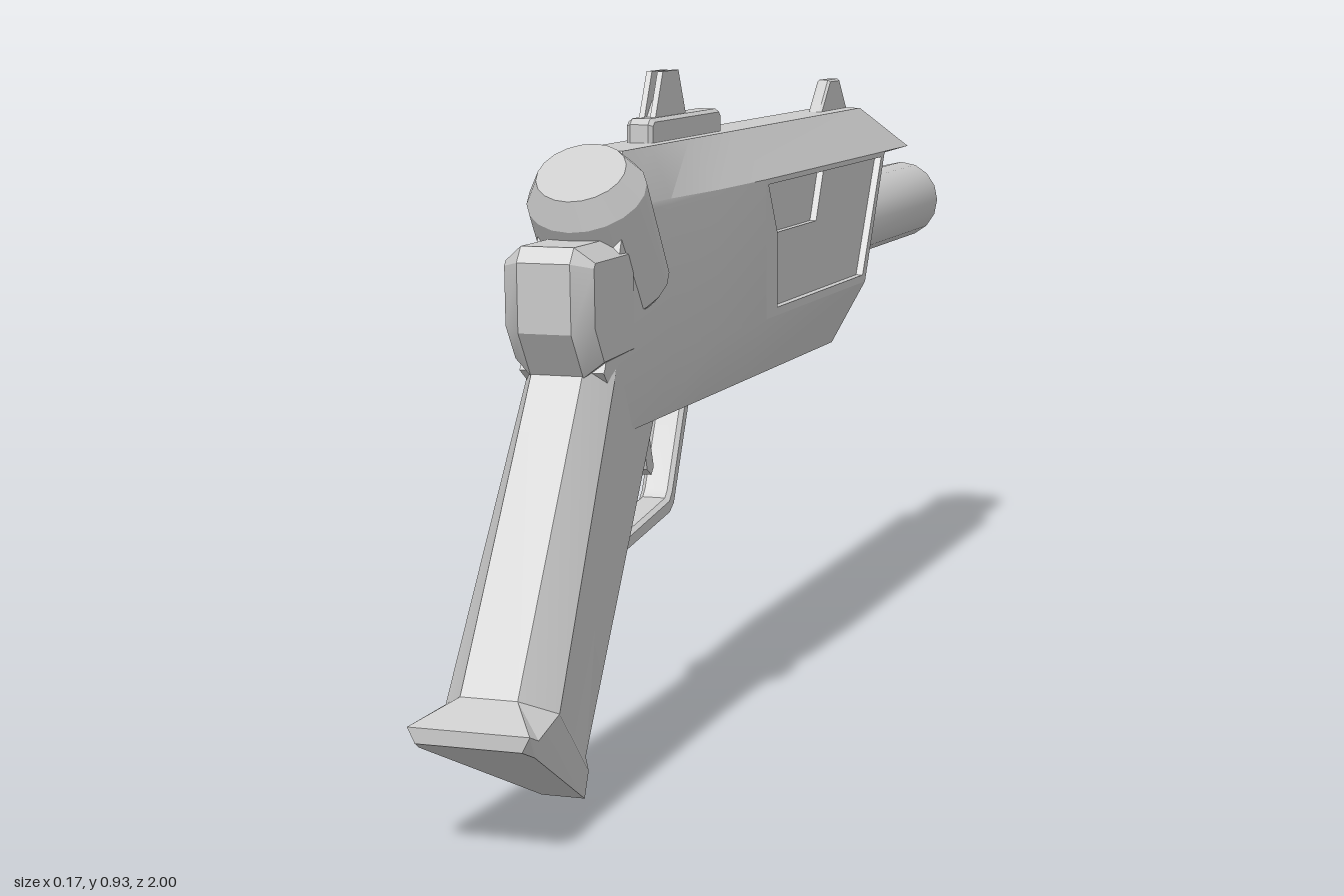
import * as THREE from 'three';
import { toCreasedNormals } from 'three/addons/utils/BufferGeometryUtils.js';

export function createModel() {
  const model = new THREE.Group();
  const material = new THREE.MeshStandardMaterial({ color: 0xcccccc });

  const add = (name, geometry, crease = 0.5) => {
    const mesh = new THREE.Mesh(toCreasedNormals(geometry, crease), material);
    mesh.name = name;
    model.add(mesh);
    return mesh;
  };

  // Side profile in [z, y], extruded across x and centred on x = cx
  const plate = (points, cx, width, hole, bevel = 0) => {
    const shape = new THREE.Shape(points.map(p => new THREE.Vector2(...p)));
    if (hole) shape.holes.push(new THREE.Path(hole.map(p => new THREE.Vector2(...p))));
    const g = new THREE.ExtrudeGeometry(shape, {
      depth: width - 2 * bevel, bevelEnabled: bevel > 0, bevelThickness: bevel,
      bevelSize: bevel * 0.8, bevelOffset: -bevel * 0.8, bevelSegments: 1,
    });
    g.translate(0, 0, bevel - width / 2);
    g.rotateY(-Math.PI / 2);
    g.translate(cx, 0, 0);
    return g;
  };

  // Skin over mirrored half sections of [x, y, z]; the start cap may have its own rows
  const mirror = ([x, y, z]) => [-x, y, z];
  const loft = (halves, startRows = halves[0], extraTriangle) => {
    const pos = [];
    const tri = (...ps) => ps.forEach(p => pos.push(...p));
    const quad = (a, b, c, d) => { tri(a, b, c); tri(a, c, d); };
    const rings = halves.map(h => [...h, ...h.map(mirror).reverse()]);
    for (let i = 0; i + 1 < rings.length; i++) {
      const n = rings[i].length;
      for (let j = 0; j < n; j++) {
        const k = (j + 1) % n;
        quad(rings[i][j], rings[i + 1][j], rings[i + 1][k], rings[i][k]);
      }
    }
    const cap = (rows, flip) => {
      for (let k = 0; k + 1 < rows.length; k++) {
        const q = [rows[k], rows[k + 1], mirror(rows[k + 1]), mirror(rows[k])];
        quad(...(flip ? q.reverse() : q));
      }
    };
    cap(startRows, false);
    cap(halves[halves.length - 1], true);
    if (extraTriangle) {
      const [a, b, c] = extraTriangle;
      tri(a, c, b);
      tri(mirror(a), mirror(b), mirror(c));
    }
    const g = new THREE.BufferGeometry();
    g.setAttribute('position', new THREE.Float32BufferAttribute(pos, 3));
    g.computeVertexNormals();
    return g;
  };

  // Receiver: z of the six section rows, half width, and half width of the inset side
  const section = (zs, w, inset = w, bottom = 0.045) => [
    [0.035, 0.835, zs[0]], [w, 0.765, zs[1]], [inset, 0.757, zs[2]],
    [inset, 0.565, zs[3]], [w, 0.56, zs[4]], [bottom, 0.465, zs[5]],
  ];
  const at = z => Array(6).fill(z);
  const front = section([-0.595, -0.72, -0.57, -0.458, -0.455, -0.4], 0.085, 0.064);
  const roof = [0.045, 0.8, -0.62];
  add('receiver', loft([
    front,
    section(at(0.08), 0.085, 0.064),
    section(at(0.08), 0.085),
    section(at(0.28), 0.078),
    section(at(0.44), 0.064),
    section([0.55, 0.6, 0.605, 0.68, 0.685, 0.56], 0.058),
  ], [front[0], front[1], roof, ...front.slice(2)], [front[1], roof, front[2]]));

  // Side frames around an inset panel with a deeper slot above it
  const frame = [[0.08, 0.56], [0.08, 0.765], [-0.572, 0.765], [-0.455, 0.56]];
  const opening = [[0.025, 0.572], [0.025, 0.68], [0.07, 0.757], [-0.55, 0.757], [-0.44, 0.572]];
  const panel = [[0.025, 0.572], [0.025, 0.68], [-0.21, 0.68], [-0.25, 0.757], [-0.55, 0.757], [-0.44, 0.572]];
  for (const [side, s] of [['left', 1], ['right', -1]]) {
    add(side + 'SideFrame', plate(frame, s * 0.0745, 0.021, opening));
    add(side + 'SidePanel', plate(panel, s * 0.068, 0.012));
  }

  // Grip with flared butt: back [z, y], front [z, y], half widths at back, shoulder, front
  const gripSection = ([bz, by], [fz, fy], wb, ws, wf, t = 0.17) => [
    [wb, by, bz],
    [ws, by + (fy - by) * t, bz + (fz - bz) * t],
    [wf, fy, fz],
  ];
  add('grip', loft([
    gripSection([0.665, 0.61], [0.38, 0.54], 0.035, 0.055, 0.035),
    gripSection([0.7, 0.56], [0.43, 0.465], 0.035, 0.061, 0.035),
    gripSection([0.935, 0.19], [0.685, 0.055], 0.038, 0.076, 0.03),
    gripSection([1.0, 0.165], [0.68, 0.035], 0.08, 0.081, 0.032, 0.08),
    gripSection([1.0, 0.145], [0.69, 0.0], 0.07, 0.076, 0.03, 0.08),
  ]), 0.3);

  // Rear block above the grip
  add('hammerBlock', plate([[0.56, 0.56], [0.56, 0.725], [0.73, 0.725], [0.745, 0.705],
    [0.742, 0.615], [0.7, 0.555]], 0, 0.122, null, 0.025));

  // Turned parts from [radius, height]
  const turned = (points, sides) =>
    new THREE.LatheGeometry(points.map(p => new THREE.Vector2(...p)), sides);

  // Tilted rear cylinder with chamfered cap
  const knob = turned([[0, 0], [0.07, 0], [0.08, 0.012], [0.08, 0.165], [0.06, 0.2], [0, 0.2]], 20);
  knob.rotateX(0.607);
  knob.translate(0, 0.646, 0.496);
  add('rearCylinder', knob);

  // Hollow barrel with slanted rear edge
  const barrel = turned([[0.04, 0], [0.067, 0], [0.067, 0.44], [0.054, 0.44], [0.054, 0.15], [0, 0.15]], 16);
  barrel.rotateX(-Math.PI / 2);
  const p = barrel.attributes.position;
  for (let i = 0; i < p.count; i++) {
    if (Math.abs(p.getZ(i)) < 0.001) p.setZ(i, -0.6 * p.getY(i));
  }
  barrel.translate(0, 0.65, -0.56);
  add('barrel', barrel);

  const rod = (name, r, y, z0, z1) => {
    const g = new THREE.CylinderGeometry(r, r, z0 - z1, 14);
    g.rotateX(-Math.PI / 2);
    g.translate(0, y, (z0 + z1) / 2);
    add(name, g);
  };
  rod('barrelRoot', 0.05, 0.65, -0.38, -0.62);
  rod('guideRod', 0.018, 0.525, -0.38, -0.5);
  rod('guideRodTip', 0.022, 0.525, -0.455, -0.508);

  // Trigger and guard
  add('triggerGuard', plate([[0.235, 0.48], [0.31, 0.322], [0.33, 0.31], [0.545, 0.285],
    [0.55, 0.308], [0.335, 0.335], [0.325, 0.345], [0.26, 0.48]], 0, 0.045, null, 0.006));
  add('trigger', plate([[0.385, 0.48], [0.385, 0.43], [0.368, 0.385], [0.378, 0.375],
    [0.395, 0.385], [0.41, 0.43], [0.415, 0.48]], 0, 0.024));

  // Sights
  add('rearSightBase', plate([[0.09, 0.83], [0.09, 0.86], [0.1, 0.868], [0.38, 0.868],
    [0.39, 0.86], [0.39, 0.83]], 0, 0.038, null, 0.006));
  for (const s of [1, -1]) {
    add(s > 0 ? 'leftRearSight' : 'rightRearSight', plate([[0.225, 0.86], [0.26, 0.93],
      [0.325, 0.93], [0.36, 0.86]], s * 0.008, 0.008));
  }
  add('rearSightCore', plate([[0.23, 0.86], [0.255, 0.89], [0.325, 0.89], [0.355, 0.86]], 0, 0.012));
  add('frontSight', plate([[-0.6, 0.825], [-0.6, 0.835], [-0.555, 0.885], [-0.5, 0.885],
    [-0.445, 0.83]], 0, 0.022, null, 0.004));

  return model;
}
